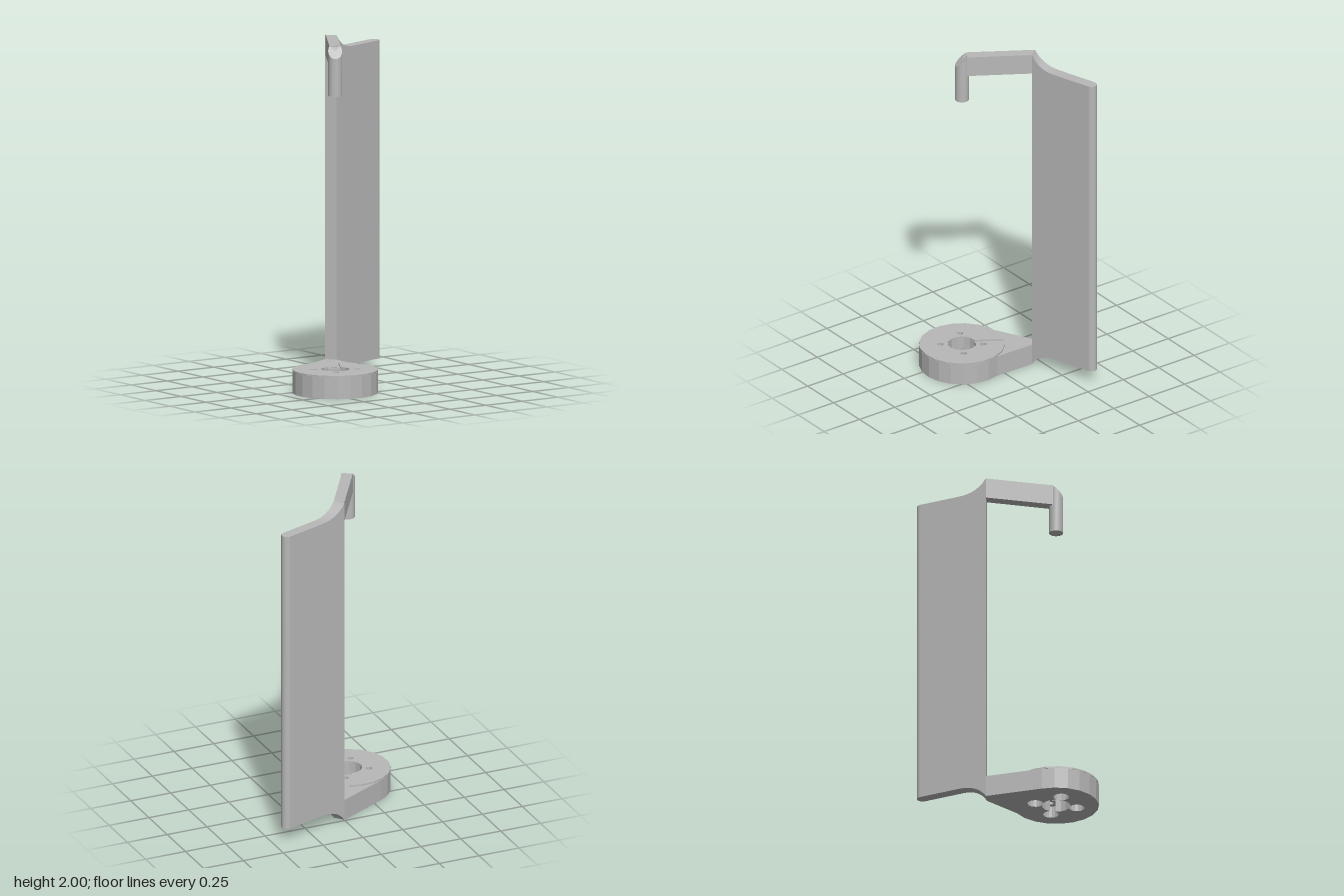
import * as THREE from 'three';

const HUB = [-0.195, 0, 0.133];        // axis of the round base
const ARM_ANGLE = 1.0245;              // heading from hub to blade
const BLADE_ANGLE = 0.315;             // heading of the blade
const R = 0.245, BORE = 0.082, SCREW = 0.122, GROOVE = 0.034;
const V = (x, y) => new THREE.Vector2(x, y);

// points along an arc, both ends included
function arc(cx, cy, r, a0, a1, n) {
  return Array.from({ length: n + 1 }, (_, i) => {
    const a = a0 + (a1 - a0) * i / n;
    return V(cx + r * Math.cos(a), cy + r * Math.sin(a));
  });
}
const circle = (cx, cy, r, n) => arc(cx, cy, r, 0, Math.PI * 2 * (n - 1) / n, n - 1);

// plan outline raised from y0 to y1
function slab(outline, holes, y0, y1) {
  const shape = new THREE.Shape(outline);
  holes.forEach(h => shape.holes.push(new THREE.Path(h)));
  const g = new THREE.ExtrudeGeometry(shape, { depth: y1 - y0, bevelEnabled: false });
  return g.rotateX(-Math.PI / 2).translate(0, y0, 0);
}

export function createModel() {
  const model = new THREE.Group();
  const grey = new THREE.MeshStandardMaterial({ color: 0xb8b8b8 });
  grey.name = 'plainGrey';
  const add = (parent, name, geometry) => {
    const m = new THREE.Mesh(geometry, grey);
    m.name = name;
    parent.add(m);
  };

  // base, bar and pin share a frame: hub at origin, arm along +x
  const arm = new THREE.Group();
  arm.name = 'baseAndHook';
  arm.position.set(...HUB);
  arm.rotation.y = ARM_ANGLE;
  model.add(arm);

  const nearCorner = V(0.3976, -0.0329), farCorner = V(0.4225, 0.0288);
  const plan = [...arc(0, 0, R, 0.986, 5.599, 15), nearCorner, farCorner];
  const screws = [0, 1, 2, 3].map(i => {
    const a = i * Math.PI / 2;
    return circle(SCREW * Math.cos(a), SCREW * Math.sin(a), 0.018, 16);
  });

  // bore joined with four screw-head pockets
  const pockets = [];
  const neck = 0.206, mouth = 0.382, pocketR = 0.045;
  for (let i = 0; i < 4; i++) {
    const a = i * Math.PI / 2;
    pockets.push(...arc(SCREW * Math.cos(a), SCREW * Math.sin(a), pocketR,
      a - Math.PI + mouth, a + Math.PI - mouth, 14));
    pockets.push(...arc(0, 0, BORE, a + neck, a + Math.PI / 2 - neck, 3).slice(1, -1));
  }
  const bore = circle(0, 0, BORE, 14);
  add(arm, 'baseLower', slab(plan, [pockets], 0, 0.07));
  add(arm, 'baseUpper', slab(plan, [bore, ...screws], 0.07, 0.125));

  // raised rim, open along the groove below the bar
  const o = Math.asin(GROOVE / R), n = Math.asin(GROOVE / BORE);
  const rim = [...arc(0, 0, R, o, Math.PI * 2 - o, 19),
    ...arc(0, 0, BORE, Math.PI * 2 - n, n, 13)];
  add(arm, 'baseRim', slab(rim, screws.slice(1), 0.125, 0.135));

  // top bar, mitred against the blade
  add(arm, 'topBar', slab([V(0.027, -0.032), nearCorner, farCorner, V(0.027, 0.032)], [], 1.88, 2));

  // hanging pin with its top cut on a slope
  const pin = new THREE.CylinderGeometry(0.04, 0.04, 0.285, 24).translate(0, 1.8575, 0);
  const p = pin.attributes.position;
  for (let i = 0; i < p.count; i++) {
    if (p.getY(i) > 1.9) p.setY(i, 2 - Math.max(0, 0.027 - p.getX(i)));
  }
  pin.computeVertexNormals();
  add(arm, 'hookPin', pin);

  // blade: side profile with scooped corners, given thickness
  const blade = new THREE.Group();
  blade.name = 'blade';
  blade.rotation.y = BLADE_ANGLE;
  model.add(blade);
  const u0 = 0.097, u1 = 0.244, u2 = 0.492;
  const profile = new THREE.Shape();
  profile.moveTo(u0, 0);
  profile.quadraticCurveTo(0.145, 0.08, u1, 0.08);
  profile.lineTo(u2, 0.08);
  profile.lineTo(u2, 1.92);
  profile.lineTo(u1, 1.92);
  profile.quadraticCurveTo(0.145, 1.92, u0, 2);
  profile.closePath();
  const panel = new THREE.ExtrudeGeometry(profile, { depth: 0.064, bevelEnabled: false, curveSegments: 8 });
  panel.translate(0, 0, -0.232);
  // lean the inner edge to the mitre line
  const q = panel.attributes.position;
  for (let i = 0; i < q.count; i++) {
    const k = Math.max(0, (u1 - q.getX(i)) / (u1 - u0));
    if (q.getZ(i) < -0.2) q.setX(i, q.getX(i) - 0.0245 * k);
  }
  panel.computeVertexNormals();
  add(blade, 'bladePanel', panel);
  add(blade, 'bladeRoundEdge',
    new THREE.CylinderGeometry(0.032, 0.032, 1.84, 12, 1, false, 0, Math.PI).translate(u2, 1, -0.2));
  return model;
}
